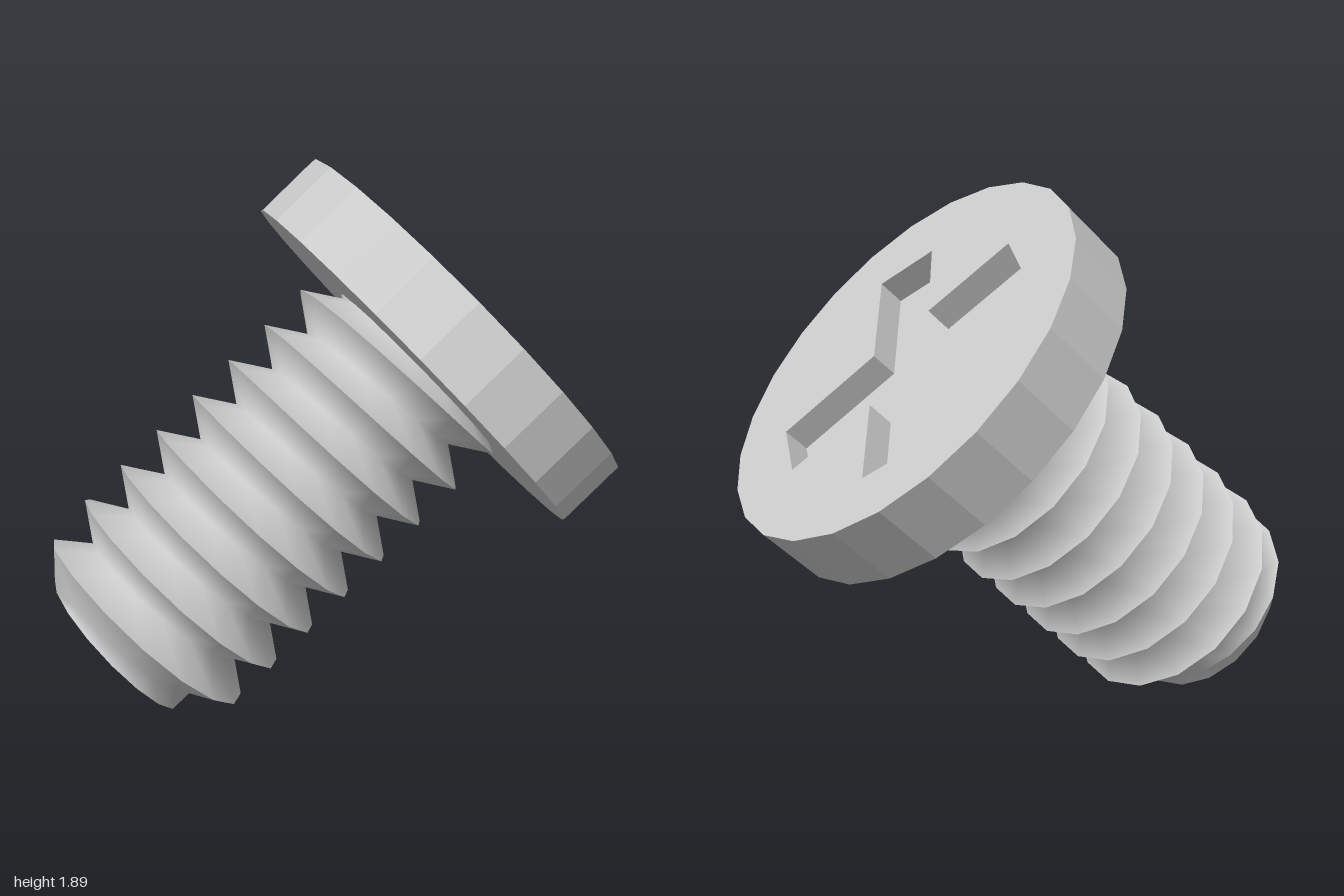
import * as THREE from 'three';

// Local frame: screw axis along y, top of the head at y = 0, shank going down.
const HEAD_T = 0.254, SLOT_D = 0.1, END = 1.695, START = 0.2, PITCH = 0.178, SIDES = 16, TURNS = 8;
const ROOT = [0.303, 0.345], TIP = [0.43, 0.503], RIM = [0.306, 0.34];
const mat = () => new THREE.MeshStandardMaterial({ color: 0xcccccc });

function named(name, geo) {
  const mesh = new THREE.Mesh(geo, mat());
  mesh.name = name;
  return mesh;
}

// Elliptical 24-sided outline of the head
function headShape() {
  const pts = [];
  for (let i = 0; i < 24; i++) {
    const a = (i / 24) * Math.PI * 2;
    pts.push(new THREE.Vector2(0.751 * Math.cos(a), 0.817 * Math.sin(a)));
  }
  return new THREE.Shape(pts);
}

// Flat plate whose top lies at y = top
function plate(shape, top, depth) {
  return new THREE.ExtrudeGeometry(shape, { depth, bevelEnabled: false })
    .rotateX(Math.PI / 2).translate(0, top, 0);
}

// Point of the thread: t in turns, crest or root
function threadPoint(t, theta, crest) {
  let s = 0.25 + PITCH * t;
  let r = ROOT;
  if (crest) {
    const fade = THREE.MathUtils.clamp((7.85 - t) / 0.35, 0, 1);
    r = [0, 1].map(k => ROOT[k] + (TIP[k] - ROOT[k]) * fade);
  }
  if (t >= TURNS || s >= END) { s = END; r = RIM; }
  return [r[0] * Math.cos(theta), -Math.max(s, START), r[1] * Math.sin(theta)];
}

// Helical ribbon, crest - root - crest, so crests stay sharp and roots smooth
function threadGeometry() {
  const pos = [], idx = [];
  const cols = (TURNS + 1) * SIDES;
  for (let j = 0; j <= cols; j++) {
    const t = j / SIDES - 1, theta = t * Math.PI * 2;
    pos.push(...threadPoint(t, theta, true));
    pos.push(...threadPoint(t + 0.5, theta, false));
    pos.push(...threadPoint(t + 1, theta, true));
    if (j === cols) break;
    for (let k = 0; k < 2; k++) {
      const a = j * 3 + k, b = a + 3;
      idx.push(a, b, a + 1, b, b + 1, a + 1);
    }
  }
  const geo = new THREE.BufferGeometry();
  geo.setAttribute('position', new THREE.Float32BufferAttribute(pos, 3));
  geo.setIndex(idx);
  geo.computeVertexNormals();
  return geo;
}

export function createModel() {
  const model = new THREE.Group();
  model.name = 'screw';

  // Head: slotted upper plate over a solid lower plate
  const head = new THREE.Group();
  head.name = 'head';
  const slotted = headShape();
  const cross = [
    [-0.265, 0.474], [-0.43, 0.283], [-0.185, 0], [-0.49, -0.198], [-0.37, -0.439], [-0.007, -0.203],
    [0.278, -0.544], [0.45, -0.348], [0.205, -0.068], [0.51, 0.128], [0.39, 0.368], [0.026, 0.143],
  ];
  slotted.holes.push(new THREE.Path(cross.map(([x, z]) => new THREE.Vector2(x, z))));
  head.add(
    named('slottedHeadTop', plate(slotted, 0, SLOT_D)),
    named('headBase', plate(headShape(), -SLOT_D, HEAD_T - SLOT_D)),
  );

  // Threaded shank with a flat end
  const shank = new THREE.Group();
  shank.name = 'shank';
  shank.position.set(-0.027, 0, 0.01);
  const end = new THREE.CircleGeometry(1, SIDES).rotateX(Math.PI / 2)
    .scale(RIM[0], 1, RIM[1]).translate(0, -END, 0);
  shank.add(named('thread', threadGeometry()), named('shankEnd', end));

  // Lean the whole screw over
  model.add(head, shank);
  model.rotation.z = Math.atan2(-0.756, 0.654);
  model.position.set(0.505, 1.322, 0);
  const root = new THREE.Group();
  root.add(model);
  return root;
}
